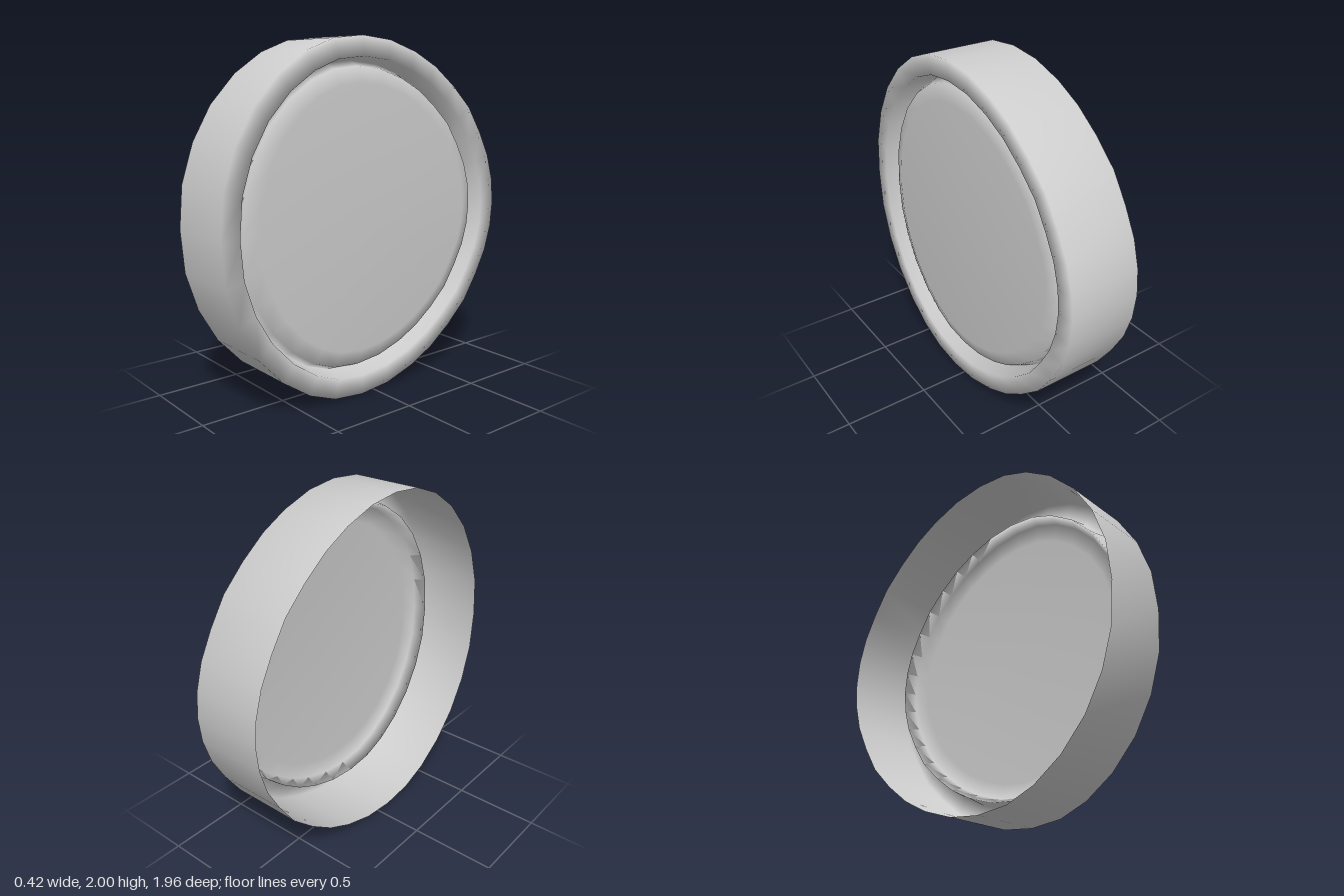
import * as THREE from 'three';

// Half outline [z, y] from top, round the front, to the back; mirrored about y = 1
const upperFront = [[0.98, 1], [0.96, 1.235], [0.89, 1.45], [0.78, 1.64], [0.63, 1.8], [0.46, 1.915], [0.29, 1.98], [0.095, 2]];
const upperBack = [[-0.1, 1.98], [-0.29, 1.92], [-0.45, 1.84], [-0.6, 1.73], [-0.74, 1.6], [-0.84, 1.45], [-0.92, 1.3], [-0.965, 1.15], [-0.98, 1]];

function outline() {
  const upper = [...upperFront, ...upperBack].reverse(); // back -> top -> front
  const lower = upper.slice(1, -1).reverse().map(([z, y]) => [z, 2 - y]);
  return [...upper, ...lower];
}

// Skin the outline through a list of [scale, x] sections
function loft(sections) {
  const ring = outline();
  const n = ring.length;
  const position = [];
  const index = [];
  sections.forEach(([s, x], j) => {
    ring.forEach(([z, y]) => position.push(x, 1 + (y - 1) * s, z * s));
    if (j === 0) return;
    for (let i = 0; i < n; i++) {
      const a = (j - 1) * n + i;
      const b = (j - 1) * n + (i + 1) % n;
      index.push(a, b, a + n);
      if (s > 0) index.push(b, b + n, a + n);
    }
  });
  const geometry = new THREE.BufferGeometry();
  geometry.setAttribute('position', new THREE.Float32BufferAttribute(position, 3));
  geometry.setIndex(index);
  geometry.computeVertexNormals();
  return geometry;
}

export function createModel() {
  const group = new THREE.Group();
  group.name = 'roundCap';
  const material = new THREE.MeshStandardMaterial({ color: 0xcccccc, side: THREE.DoubleSide });

  // Open-backed shell: side wall, flat rim, narrow groove, raised face
  const shell = new THREE.Mesh(loft([
    [1, -0.21], [1, 0.21],
    [0.89, 0.21],
    [0.87, 0.085],
    [0.84, 0.15],
    [0.75, 0.18],
    [0, 0.18],
  ]), material);
  shell.name = 'capShell';
  group.add(shell);
  return group;
}
